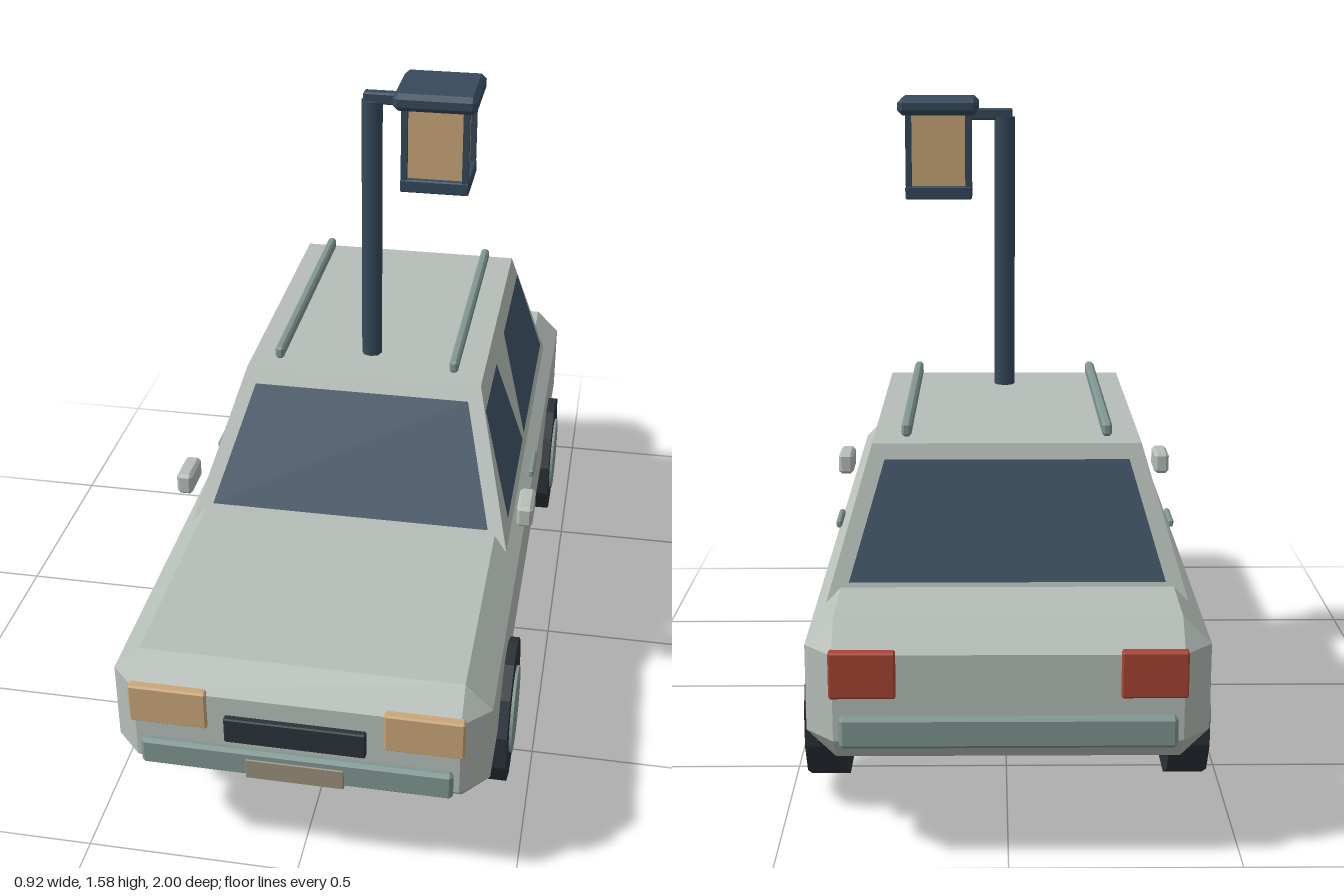
import * as THREE from 'three';
import { ConvexGeometry } from 'three/addons/geometries/ConvexGeometry.js';

const mat = (name, color) => {
  const m = new THREE.MeshStandardMaterial({ color });
  m.name = name;
  return m;
};

export function createModel() {
  const paint = mat('greyPaint', 0xb6beb8);
  const glass = mat('blueGlass', 0x3f5365);
  const navy = mat('navyMetal', 0x35495b);
  const dark = mat('darkRubber', 0x2b3239);
  const amber = mat('amberLight', 0xc9a679);
  const khaki = mat('khakiStone', 0x9a917b);
  const teal = mat('tealTrim', 0x7f9692);
  const red = mat('redLight', 0xa84434);
  const green = mat('greenLeaf', 0x4c6f48);

  const model = new THREE.Group();
  const add = (name, geometry, material, x = 0, y = 0, z = 0) => {
    const mesh = new THREE.Mesh(geometry, material);
    mesh.name = name;
    mesh.position.set(x, y, z);
    model.add(mesh);
    return mesh;
  };

  // Box with chamfered edges, given by its min and max corners
  const block = (name, material, [x0, y0, z0], [x1, y1, z1], c) => {
    const h = [(x1 - x0) / 2, (y1 - y0) / 2, (z1 - z0) / 2];
    const points = [];
    for (const sx of [-1, 1]) for (const sy of [-1, 1]) for (const sz of [-1, 1])
      for (let full = 0; full < 3; full++) {
        const e = h.map((v, i) => (i === full ? v : v - c));
        points.push(new THREE.Vector3(sx * e[0], sy * e[1], sz * e[2]));
      }
    return add(name, new ConvexGeometry(points), material, (x0 + x1) / 2, (y0 + y1) / 2, (z0 + z1) / 2);
  };

  // Body and sill
  block('body', paint, [-0.43, 0.225, -0.98], [0.43, 0.54, 0.98], 0.062);
  block('underbody', dark, [-0.422, 0.19, -0.825], [0.422, 0.28, 0.825], 0.02);

  // Tapered cabin, described by its section at each height
  const section = (y) => {
    const k = (y - 0.51) / 0.335;
    return { x: 0.4 - 0.1 * k, front: 0.36 - 0.225 * k, back: -0.74 + 0.1 * k };
  };
  const cabinPoints = [];
  for (const y of [0.51, 0.845]) {
    const s = section(y);
    for (const x of [-s.x, s.x])
      for (const z of [s.front, s.back]) cabinPoints.push(new THREE.Vector3(x, y, z));
  }
  add('cabin', new ConvexGeometry(cabinPoints), paint);

  // Window panes lie just outside the cabin faces
  const middle = new THREE.Vector3(0, 0.68, -0.2);
  const pane = (name, corners) => {
    let p = corners.map((c) => new THREE.Vector3(...c));
    const normal = new THREE.Vector3().crossVectors(p[1].clone().sub(p[0]), p[2].clone().sub(p[0])).normalize();
    if (normal.dot(p[0].clone().sub(middle)) < 0) {
      p = p.reverse();
      normal.negate();
    }
    p.forEach((v) => v.addScaledVector(normal, 0.006));
    const geometry = new THREE.BufferGeometry().setFromPoints([p[0], p[1], p[2], p[0], p[2], p[3]]);
    geometry.computeVertexNormals();
    add(name, geometry, glass);
  };
  const lo = section(0.55), hi = section(0.81);
  for (const [name, end] of [['windshield', 'front'], ['rearWindow', 'back']])
    pane(name, [[-0.35, 0.55, lo[end]], [0.35, 0.55, lo[end]], [0.272, 0.81, hi[end]], [-0.272, 0.81, hi[end]]]);
  const sideWindow = (name, s, lowZ, highZ) => {
    const a = s * section(0.55).x, b = s * section(0.8).x;
    pane(name, [[a, 0.55, lowZ[0]], [a, 0.55, lowZ[1]], [b, 0.8, highZ[1]], [b, 0.8, highZ[0]]]);
  };

  // Paired parts on both sides
  for (const [side, s] of [['left', 1], ['right', -1]]) {
    const pair = (name, material, a, b, c) => {
      const xs = [s * a[0], s * b[0]].sort((m, n) => m - n);
      block(side + name, material, [xs[0], a[1], a[2]], [xs[1], b[1], b[2]], c);
    };
    sideWindow(side + 'FrontWindow', s, [0.275, -0.115], [0.18, -0.068]);
    sideWindow(side + 'BackWindow', s, [-0.15, -0.674], [-0.248, -0.625]);
    pair('Headlight', amber, [0.2, 0.39, 0.965], [0.378, 0.488, 0.99], 0.004);
    pair('TailLight', red, [0.235, 0.385, -0.992], [0.375, 0.487, -0.965], 0.004);
    pair('Mirror', paint, [0.416, 0.545, 0.2], [0.456, 0.602, 0.3], 0.008);
    pair('DoorHandle', teal, [0.42, 0.492, -0.13], [0.434, 0.512, -0.022], 0.004);
    pair('RoofRail', teal, [0.214, 0.852, -0.61], [0.236, 0.884, 0.095], 0.006);

    // Wheels
    for (const [end, z] of [['Front', 0.6], ['Back', -0.6]]) {
      const tire = new THREE.CylinderGeometry(0.172, 0.172, 0.09, 12).toNonIndexed();
      tire.rotateY(Math.PI / 12).rotateZ(Math.PI / 2).computeVertexNormals();
      add(side + end + 'Tire', tire, dark, s * 0.408, 0.222, z);
      const hub = new THREE.CylinderGeometry(0.104, 0.104, 0.02, 20).rotateZ(Math.PI / 2);
      add(side + end + 'Hubcap', hub, teal, s * 0.45, 0.222, z);
    }
  }

  // Front and rear trim
  block('grille', dark, [-0.16, 0.364, 0.965], [0.16, 0.43, 0.995], 0.003);
  block('frontBumper', teal, [-0.355, 0.275, 0.965], [0.355, 0.345, 0.997], 0.008);
  block('rearBumper', teal, [-0.355, 0.275, -0.997], [0.355, 0.345, -0.965], 0.008);
  block('numberPlate', khaki, [-0.112, 0.272, 0.985], [0.112, 0.325, 1], 0.002);

  // Plinth and shrub under the car
  block('plinth', khaki, [-0.385, 0.05, -0.312], [0.385, 0.21, 0.312], 0.032);
  add('shrub', new THREE.IcosahedronGeometry(0.185, 1), green, 0, 0.19, 0.155);

  // Lamp post
  add('lampPost', new THREE.CylinderGeometry(0.026, 0.026, 1.46, 8), navy, 0, 0.8, 0);
  block('lampArm', navy, [-0.02, 1.522, -0.014], [0.13, 1.551, 0.014], 0.004);

  // Lantern
  const lx = 0.165;
  block('lanternCap', navy, [lx - 0.1, 1.537, -0.1], [lx + 0.1, 1.58, 0.1], 0.012);
  block('lanternBase', navy, [lx - 0.083, 1.33, -0.083], [lx + 0.083, 1.362, 0.083], 0.003);
  add('lanternGlass', new THREE.BoxGeometry(0.136, 0.19, 0.136), amber, lx, 1.45, 0);
  for (const sx of [-1, 1])
    for (const sz of [-1, 1])
      add('lanternPost', new THREE.BoxGeometry(0.015, 0.2, 0.015), navy, lx + sx * 0.074, 1.45, sz * 0.074);

  return model;
}
